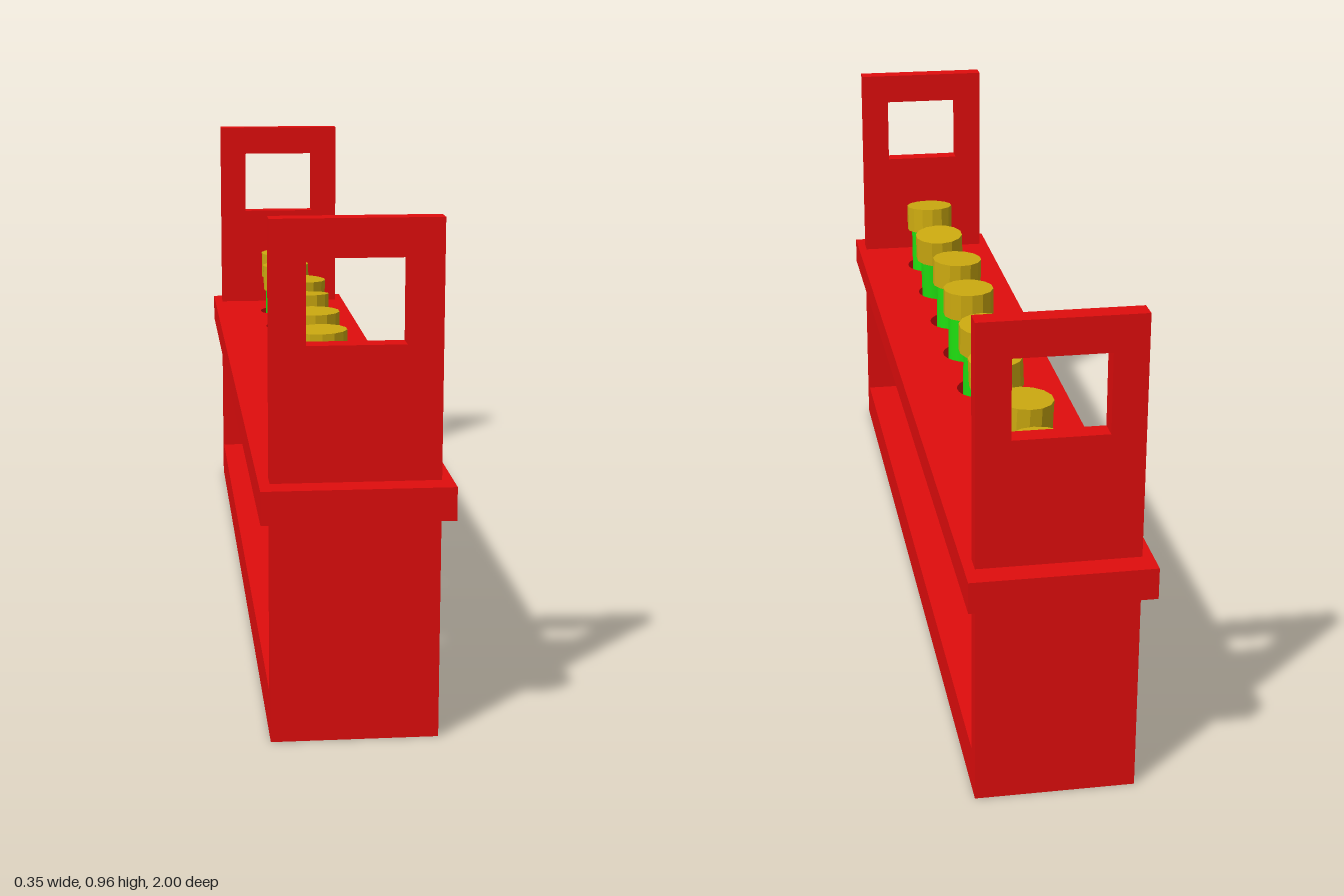
import * as THREE from 'three';

const red = new THREE.MeshStandardMaterial({ color: 0xe00d0d });
const green = new THREE.MeshStandardMaterial({ color: 0x1fe010 });
const gold = new THREE.MeshStandardMaterial({ color: 0xccaa10, flatShading: true });

function rectPath(target, w, y0, y1) {
  target.moveTo(-w, y0);
  target.lineTo(w, y0);
  target.lineTo(w, y1);
  target.lineTo(-w, y1);
  target.closePath();
  return target;
}

function addMesh(parent, name, geometry, material) {
  const mesh = new THREE.Mesh(geometry, material);
  mesh.name = name;
  parent.add(mesh);
  return mesh;
}

export function createModel() {
  const model = new THREE.Group();
  model.name = 'testTubeRack';

  // Base board between the end panels
  addMesh(model, 'base', new THREE.BoxGeometry(0.31, 0.085, 1.82), red).position.y = 0.0425;

  // End panels with a rectangular hand hole
  const panel = rectPath(new THREE.Shape(), 0.155, 0, 0.965);
  panel.holes.push(rectPath(new THREE.Path(), 0.09, 0.74, 0.895));
  const panelGeo = new THREE.ExtrudeGeometry(panel, { depth: 0.04, bevelEnabled: false });
  addMesh(model, 'frontPanel', panelGeo, red).position.z = 0.91;
  addMesh(model, 'backPanel', panelGeo, red).position.z = -0.95;

  // Shelf with a row of eight round holes
  const count = 8, spacing = 0.2165;
  const shelf = rectPath(new THREE.Shape(), 0.175, -1, 1);
  for (let i = 0; i < count; i++) {
    const hole = new THREE.Path();
    hole.absarc(0, (i - (count - 1) / 2) * spacing, 0.06, 0, Math.PI * 2, true);
    shelf.holes.push(hole);
  }
  const shelfGeo = new THREE.ExtrudeGeometry(shelf, { depth: 0.062, bevelEnabled: false, curveSegments: 16 });
  shelfGeo.rotateX(-Math.PI / 2);
  addMesh(model, 'shelf', shelfGeo, red).position.y = 0.429;

  // Round-bottomed tube profile, starting at the lowest point
  const r = 0.047, profile = [];
  for (let i = 0; i <= 8; i++) {
    const a = (i / 8) * Math.PI / 2;
    profile.push(new THREE.Vector2(r * Math.sin(a), r - r * Math.cos(a)));
  }
  profile.push(new THREE.Vector2(r, 0.52));
  const tubeGeo = new THREE.LatheGeometry(profile, 24);
  const capGeo = new THREE.CylinderGeometry(0.058, 0.058, 0.062, 14);

  // Leaning tubes: [bottom x, bottom z, top x, top z]
  const tubes = [
    [0, 0.735, 0, 0.78], [-0.01, 0.58, 0.01, 0.53],
    [0.006, 0.328, -0.006, 0.328], [0, 0.115, 0, 0.115],
    [0, -0.075, 0, -0.122], [-0.012, -0.325, 0.012, -0.325],
    [0.012, -0.54, -0.01, -0.55], [0, -0.758, 0, -0.747],
  ];
  const up = new THREE.Vector3(0, 1, 0);
  tubes.forEach(([bx, bz, tx, tz], i) => {
    const tube = new THREE.Group();
    tube.name = `testTube${i + 1}`;
    tube.position.set(bx, 0.09, bz);
    const lean = new THREE.Vector3(tx - bx, 0.56, tz - bz).normalize();
    tube.quaternion.setFromUnitVectors(up, lean);
    addMesh(tube, 'glass', tubeGeo, green);
    addMesh(tube, 'cap', capGeo, gold).position.y = 0.528;
    model.add(tube);
  });

  return model;
}
